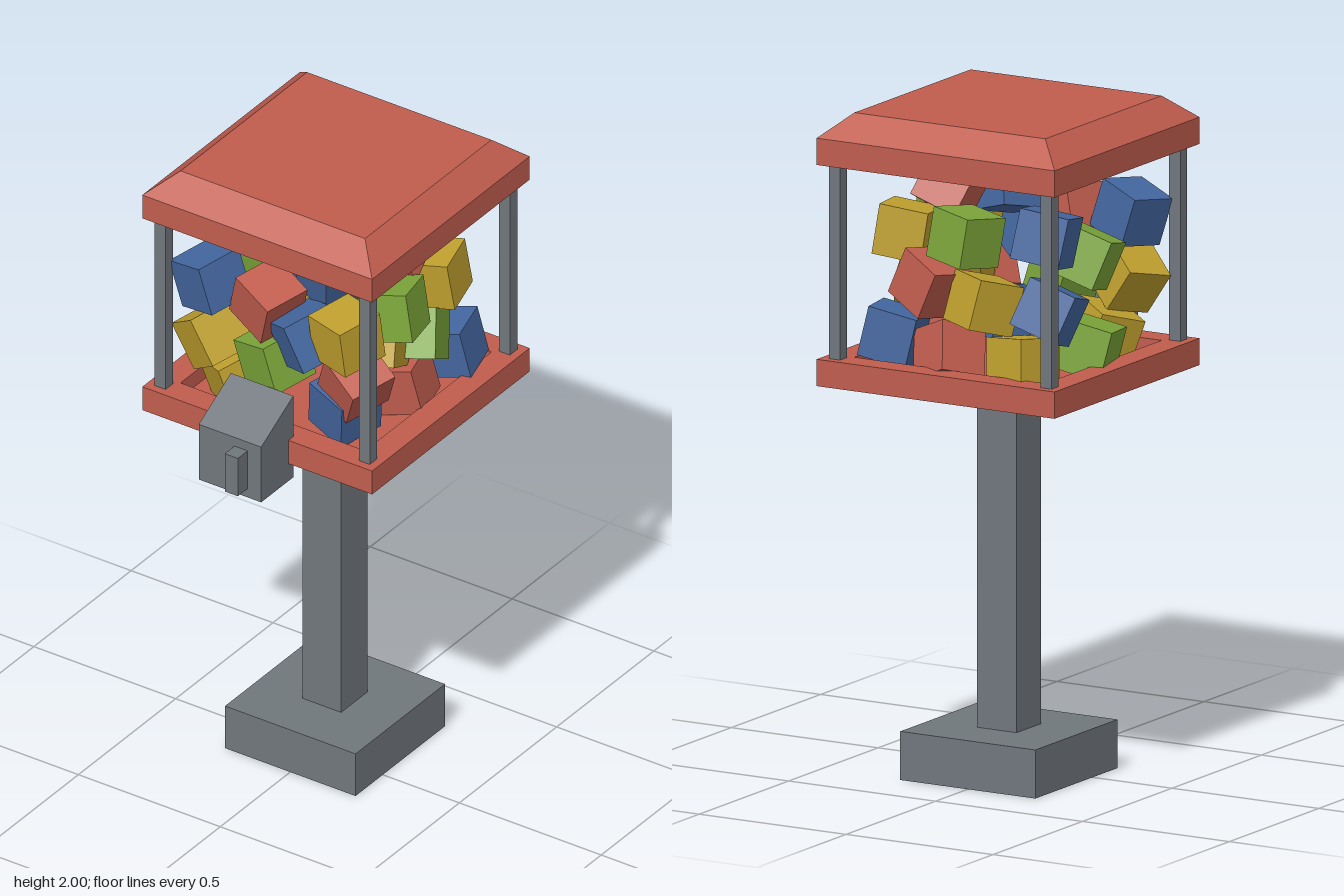
import * as THREE from 'three';

const mat = (name, color) => Object.assign(new THREE.MeshStandardMaterial({ color }), { name });

export function createModel() {
  const group = new THREE.Group();
  const red = mat('red', 0xc05d4e);
  const grey = mat('grey', 0x70777c);
  const blue = mat('blue', 0x4467a0);
  const green = mat('green', 0x7ca63a);
  const yellow = mat('yellow', 0xbfa02e);
  const CZ = -0.095; // centre line of the cabinet in z

  function add(name, geometry, material, x, y, z) {
    const mesh = new THREE.Mesh(geometry, material);
    mesh.name = name;
    mesh.position.set(x, y, z);
    group.add(mesh);
    return mesh;
  }
  const box = (name, w, h, d, material, x, y, z) =>
    add(name, new THREE.BoxGeometry(w, h, d), material, x, y, z);

  function rect(PathType, hw, hh) {
    const p = new PathType();
    p.moveTo(-hw, -hh);
    p.lineTo(hw, -hh);
    p.lineTo(hw, hh);
    p.lineTo(-hw, hh);
    p.closePath();
    return p;
  }

  // Flat rectangular ring standing on y = 0
  function frame(hw, hd, wall, height) {
    const shape = rect(THREE.Shape, hw, hd);
    shape.holes.push(rect(THREE.Path, hw - wall, hd - wall));
    return new THREE.ExtrudeGeometry(shape, { depth: height, bevelEnabled: false }).rotateX(-Math.PI / 2);
  }

  // Stand
  box('base', 0.46, 0.145, 0.46, grey, 0, 0.0725, CZ + 0.005);
  box('pole', 0.136, 1.05, 0.136, grey, 0, 0.67, CZ + 0.005);

  // Tray with a raised rim
  add('trayRim', frame(0.405, 0.405, 0.08, 0.08), red, 0, 1.19, CZ);
  box('trayFloor', 0.65, 0.03, 0.65, red, 0, 1.205, CZ);

  // Roof: hollow rim below a sloped cap
  add('roofRim', frame(0.405, 0.405, 0.08, 0.08), red, 0, 1.85, CZ);
  const cap = new THREE.CylinderGeometry(0.325 * Math.SQRT2, 0.405 * Math.SQRT2, 0.07, 4)
    .rotateY(Math.PI / 4).toNonIndexed();
  cap.computeVertexNormals();
  add('roofCap', cap, red, 0, 1.965, CZ);

  // Corner posts
  for (const sx of [-1, 1]) for (const sz of [-1, 1])
    box('cornerPost', 0.038, 0.58, 0.038, grey, sx * 0.36, 1.56, CZ + sz * 0.36);

  // Dispenser with sloped top and an open chute underneath
  const side = new THREE.Shape([[0.285, 1.19], [0.45, 1.19], [0.45, 1.32], [0.285, 1.41]]
    .map(([z, y]) => new THREE.Vector2(-z, y)));
  add('dispenser', new THREE.ExtrudeGeometry(side, { depth: 0.22, bevelEnabled: false })
    .rotateY(Math.PI / 2), grey, -0.11, 0, 0);
  add('chute', frame(0.11, 0.0825, 0.03, 0.06), grey, 0, 1.13, 0.3675);
  box('handle', 0.046, 0.13, 0.05, grey, 0.039, 1.225, 0.475);

  // Tumbled cubes: each has a centre and a spin about its outward axis in degrees
  const cube = new THREE.BoxGeometry(0.15, 0.15, 0.15);
  function addCubes(material, list) {
    list.forEach(([x, y, z, spin], i) => {
      const facesZ = Math.abs(z - CZ) > Math.abs(x);
      const tilt = 7 + 5 * (i % 3);
      const turns = facesZ ? [tilt, -10 - tilt, spin] : [spin, 14, tilt];
      add(material.name + 'Cube', cube, material, x, y, z)
        .rotation.set(...turns.map(THREE.MathUtils.degToRad));
    });
  }
  addCubes(blue, [
    [-0.24, 1.65, 0.20, 18], [0.10, 1.72, 0.07, -12], [0.10, 1.57, 0.20, 30],
    [0.18, 1.32, 0.12, -8], [0.25, 1.33, -0.32, 3], [-0.26, 1.45, -0.29, 15],
    [-0.25, 1.67, -0.29, 10]]);
  addCubes(red, [
    [-0.05, 1.63, 0.18, -18], [0.24, 1.44, 0.15, -25], [0.18, 1.74, -0.12, 22],
    [0.12, 1.50, -0.33, 25], [0.23, 1.31, -0.10, 4], [0.05, 1.30, -0.34, -15]]);
  addCubes(green, [
    [-0.02, 1.45, 0.19, 18], [0.27, 1.62, 0.00, -6], [0.25, 1.45, -0.15, -32],
    [0.00, 1.65, -0.33, 8], [-0.28, 1.31, -0.10, 5], [-0.27, 1.58, -0.10, 12]]);
  addCubes(yellow, [
    [0.24, 1.62, 0.20, 4], [-0.23, 1.46, 0.20, 38], [-0.19, 1.30, 0.13, 20],
    [0.26, 1.62, -0.23, 4], [0.20, 1.48, -0.02, -28], [-0.06, 1.46, -0.33, 10],
    [-0.20, 1.30, -0.34, -5]]);

  return group;
}
